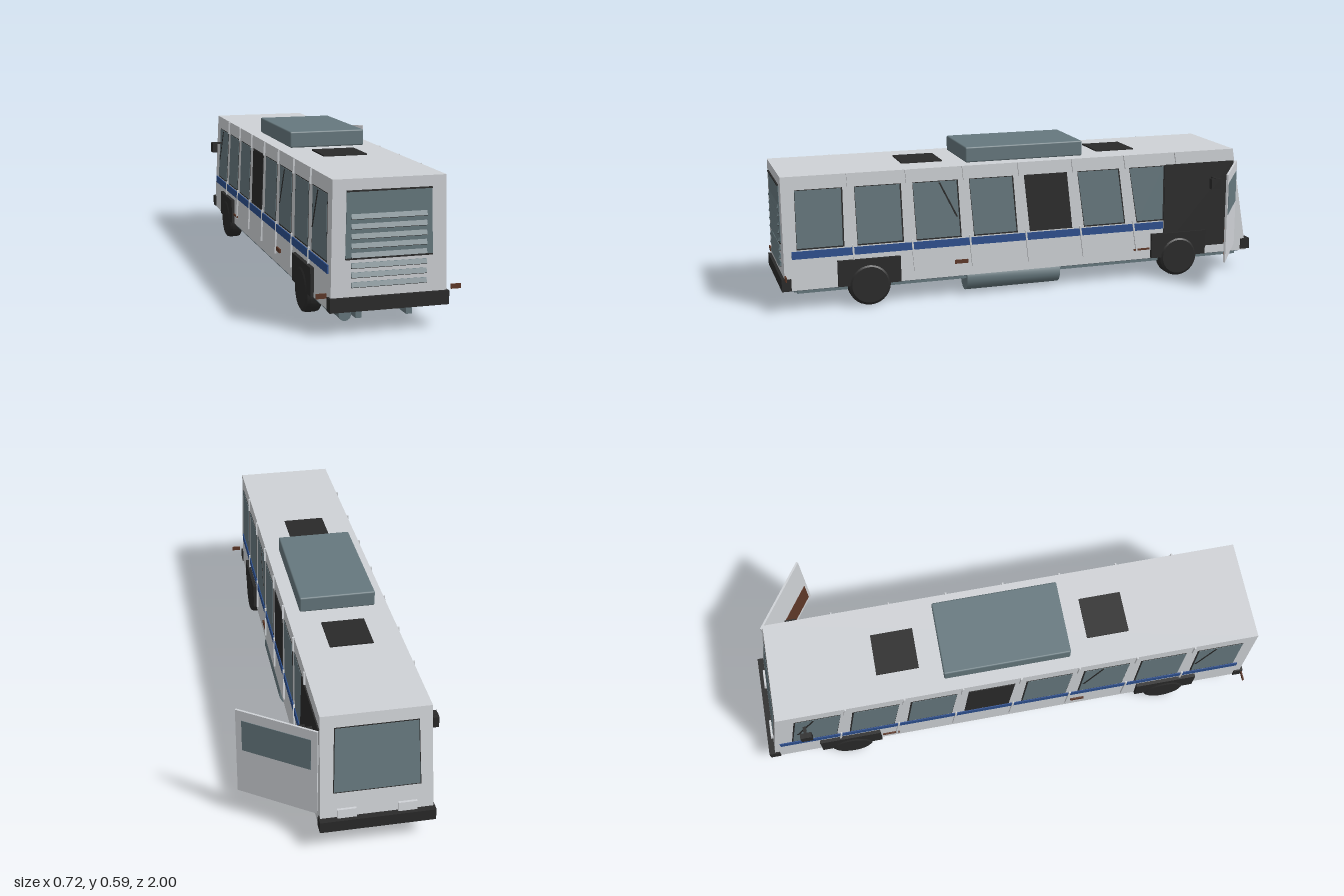
import * as THREE from 'three';
import { toCreasedNormals } from 'three/addons/utils/BufferGeometryUtils.js';
import { RoundedBoxGeometry } from 'three/addons/geometries/RoundedBoxGeometry.js';

const CX = -0.105, Y0 = 0.085, Y1 = 0.53, FRONT = 0.988;

// Hull surface: half width and sloped back end as functions of height
const lift = (y) => (y - Y0) / (Y1 - Y0);
const halfWidth = (y) => 0.206 - 0.008 * lift(y);
const backEnd = (y) => 0.985 - 0.076 * lift(y);

function material(name, color) {
  const m = new THREE.MeshStandardMaterial({ color });
  m.name = name;
  return m;
}

export function createModel() {
  const body = material('body grey', 0xcfd2d6);
  const teal = material('slate glass', 0x66787e);
  const black = material('black', 0x2a2a2a);
  const blue = material('stripe blue', 0x2c4f8e);
  const brown = material('brown', 0x5d3727);
  const floorMat = material('dark floor', 0x505b62);

  const bus = new THREE.Group();
  bus.name = 'bus';

  function add(name, geometry, mat, x = 0, y = 0, z = 0, parent = bus) {
    const mesh = new THREE.Mesh(geometry, mat);
    mesh.name = name;
    mesh.position.set(x, y, z);
    parent.add(mesh);
    return mesh;
  }

  // Box given by its limits
  function box(name, mat, x0, x1, y0, y1, z0, z1, parent) {
    return add(name, new THREE.BoxGeometry(x1 - x0, y1 - y0, z1 - z0), mat,
      (x0 + x1) / 2, (y0 + y1) / 2, (z0 + z1) / 2, parent);
  }

  // Thin plate lying on a hull face; points are (z, y) on sides, (x, y) on ends
  function plate(name, mat, face, points, thick) {
    const flip = face === 'left' || face === 'back' ? -1 : 1;
    const shape = new THREE.Shape(points.map(([u, y]) => new THREE.Vector2(u * flip, y)));
    const g = new THREE.ExtrudeGeometry(shape, { depth: thick + 0.004, bevelEnabled: false });
    const p = g.attributes.position;
    for (let i = 0; i < p.count; i++) {
      const u = p.getX(i) * flip, y = p.getY(i), w = p.getZ(i) - 0.004;
      if (face === 'left') p.setXYZ(i, CX + halfWidth(y) + w, y, u);
      else if (face === 'right') p.setXYZ(i, CX - halfWidth(y) - w, y, u);
      else if (face === 'front') p.setXYZ(i, u, y, FRONT + w);
      else p.setXYZ(i, u, y, -backEnd(y) - w);
    }
    g.computeVertexNormals();
    return add(name, g, mat);
  }
  const rect = (u0, u1, y0, y1) => [[u0, y0], [u1, y0], [u1, y1], [u0, y1]];

  // Hull: a box tapered by height
  const hull = new THREE.BoxGeometry(1, 1, 1).toNonIndexed();
  const hp = hull.attributes.position;
  for (let i = 0; i < hp.count; i++) {
    const y = hp.getY(i) > 0 ? Y1 : Y0;
    hp.setXYZ(i, CX + 2 * hp.getX(i) * halfWidth(y), y, hp.getZ(i) > 0 ? FRONT : -backEnd(y));
  }
  hull.computeVertexNormals();
  add('hull', hull, body);
  box('floor', floorMat, -0.3, 0.09, 0.08, 0.086, -0.96, 0.965);

  // Both long sides
  for (const side of ['left', 'right']) {
    const s = side === 'left' ? 1 : -1;
    const X = (d) => CX + s * d;
    const sideBox = (name, mat, a, b, ...r) =>
      box(name, mat, Math.min(X(a), X(b)), Math.max(X(a), X(b)), ...r);
    const count = side === 'left' ? 7 : 8;

    // Windows lean further towards the sloped end; the last left one stops at the doorway
    for (let i = 0; i < count; i++) {
      const atDoor = side === 'left' && i === 6;
      const top = 0.936 - 0.2285 * i, lean = 0.0062 * i;
      const low = atDoor ? -0.588 : top - 0.176;
      const quad = (e) => [[top + e * 0.2 - lean, 0.25 - e], [low - e - (atDoor ? 0 : lean), 0.25 - e],
        [low - e, 0.475 + e * 0.4], [top + e * 0.2, 0.475 + e * 0.4]];
      plate('windowFrame', black, side, quad(0.006), 0.0015);
      plate('sideWindow', i === 4 ? black : teal, side, quad(0), 0.003);
      if (i === 2 || (side === 'right' && (i === 0 || i === 7))) {
        const a = top - 0.103, b = low + 0.002 - lean * 0.4;
        plate('windowBrace', black, side, [[a, 0.47], [a - 0.007, 0.47], [b, 0.33], [b + 0.007, 0.33]], 0.005);
      }
    }

    // Ribs between the windows, in an upper and a lower piece
    for (let i = 0; i < 7; i++) {
      const z = 0.735 - 0.229 * i, lean = 0.02 + 0.0085 * i;
      const at = (y) => z - lean * (Y1 - y) / 0.41;
      const ribs = side === 'left' && i === 6 ? [[0.482, Y1]] : [[0.475, Y1], [0.12, 0.25]];
      for (const [a, b] of ribs) {
        plate('rib', body, side, [[at(a) - 0.0035, a], [at(a) + 0.0035, a], [at(b) + 0.0035, b], [at(b) - 0.0035, b]], 0.007);
      }
    }

    plate('stripe', blue, side, rect(side === 'left' ? -0.59 : -0.94, 0.957, 0.209, 0.239), 0.004);
    plate('sideMarker', brown, side, rect(0.26, 0.315, 0.137, 0.152), 0.006);
    plate('sideMarker', brown, side, rect(-0.53, -0.46, 0.124, 0.131), 0.006);
    sideBox('cornerMarker', brown, 0.22, 0.256, 0.135, 0.152, 0.985, 0.99);

    // Wheels and their covers
    for (const z of [0.66, -0.66]) {
      const profile = [[0, -0.032], [0.072, -0.032], [0.082, -0.026], [0.085, -0.014],
        [0.085, 0.014], [0.082, 0.026], [0.072, 0.032], [0, 0.032]];
      const g = new THREE.LatheGeometry(profile.map(([r, h]) => new THREE.Vector2(r, h)), 28);
      g.rotateZ(Math.PI / 2);
      add('wheel', toCreasedNormals(g, 0.3), black, X(0.19), 0.086, z);
      sideBox('wheelCover', black, 0.17, 0.218, 0.087, 0.19, z - 0.124, z + 0.124);
    }

    // Mirror on its arm
    sideBox('mirrorArm', black, 0.195, 0.25, 0.41, 0.417, -0.82, -0.808);
    sideBox('mirror', black, 0.228, 0.25, 0.372, 0.415, -0.835, -0.79);
  }

  // Doorway and open door
  plate('doorway', black, 'left', rect(-0.912, -0.594, 0.12, 0.48), 0.005);
  const door = new THREE.Group();
  door.name = 'door';
  door.position.set(0.2295, 0, -0.835);
  door.rotation.y = -Math.atan2(0.175, 0.255);
  bus.add(door);
  box('doorPanel', body, -0.157, 0.157, 0.117, 0.48, -0.004, 0.004, door);
  box('doorInnerPanel', brown, -0.138, 0.142, 0.141, 0.265, 0, 0.006, door);
  box('doorWindow', teal, -0.133, 0.133, 0.31, 0.44, -0.006, 0, door);

  // Front end: large grille window with wedge-shaped louvres
  plate('grilleWindow', teal, 'front', [[-0.26, 0.262], [0.047, 0.262], [0.042, 0.49], [-0.255, 0.49]], 0.003);
  plate('grilleTrim', black, 'front', rect(-0.255, 0.042, 0.487, 0.492), 0.006);
  plate('grilleTrim', black, 'front', rect(-0.26, 0.047, 0.26, 0.265), 0.006);
  const wedge = new THREE.Shape([[0, 0], [0, 0.016], [-0.003, 0.016], [-0.01, 0]].map(([a, b]) => new THREE.Vector2(a, b)));
  const louvre = new THREE.ExtrudeGeometry(wedge, { depth: 0.265, bevelEnabled: false }).rotateY(Math.PI / 2);
  for (const y of [0.397, 0.364, 0.331, 0.299, 0.267, 0.232, 0.2, 0.167]) {
    add('louvre', louvre, teal, -0.24, y, FRONT);
    plate('louvreShadow', black, 'front', rect(-0.24, 0.025, y - 0.002, y), 0.008);
  }

  // Sloped end: windscreen and lamps
  plate('windscreenFrame', black, 'back', [[-0.265, 0.231], [0.052, 0.231], [0.044, 0.484], [-0.257, 0.484]], 0.0015);
  plate('windscreen', teal, 'back', [[-0.262, 0.235], [0.049, 0.235], [0.041, 0.481], [-0.254, 0.481]], 0.003);
  for (const x of [-0.215, 0.005]) {
    plate('lamp', body, 'back', rect(x - 0.035, x + 0.035, 0.135, 0.168), 0.009);
  }

  // Bumpers
  box('frontBumper', black, -0.316, 0.105, 0.085, 0.133, 0.963, 1);
  box('backBumper', black, -0.316, 0.105, 0.09, 0.135, -1, -0.958);

  // Roof unit and hatches
  add('roofUnit', new RoundedBoxGeometry(0.295, 0.062, 0.495, 2, 0.006), teal, -0.106, 0.562, 0.002);
  for (const z of [-0.418, 0.412]) box('roofHatch', black, -0.19, -0.025, 0.525, 0.535, z - 0.083, z + 0.083);

  // Chassis rails, sills, cross beams, tank and pipe
  for (const x of [-0.198, -0.017]) box('chassisRail', teal, x - 0.011, x + 0.011, 0.045, 0.085, -0.94, 0.94);
  for (const x of [-0.285, 0.075]) box('sill', teal, x - 0.012, x + 0.012, 0.068, 0.085, -0.94, 0.94);
  for (const z of [-0.6, 0.4]) box('crossBeam', teal, -0.265, 0.06, 0.068, 0.084, z - 0.015, z + 0.015);
  const tank = new THREE.CylinderGeometry(0.051, 0.051, 0.395, 14).rotateX(Math.PI / 2);
  add('tank', toCreasedNormals(tank, 0.6), teal, 0.055, 0.064, 0.067);
  const pipe = new THREE.CylinderGeometry(0.022, 0.022, 1.88, 16).rotateX(Math.PI / 2);
  add('exhaustPipe', toCreasedNormals(pipe, 0.6), teal, -0.246, 0.06, 0);

  return bus;
}
